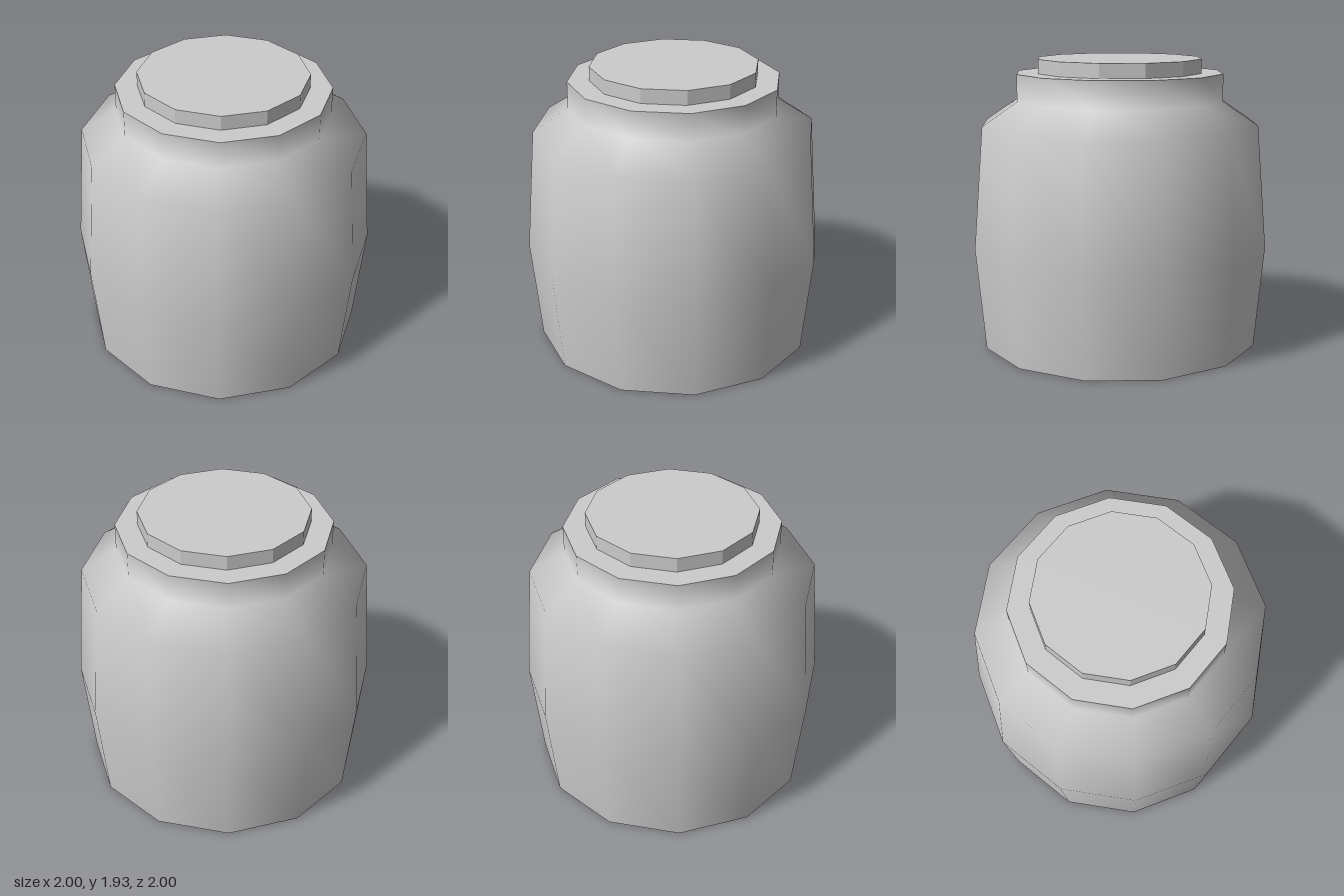
import * as THREE from 'three';

const SIDES = 12;

export function createModel() {
  const jar = new THREE.Group();
  jar.name = 'jar';
  const smooth = new THREE.MeshStandardMaterial({ color: 0xcccccc });
  const faceted = new THREE.MeshStandardMaterial({ color: 0xcccccc, flatShading: true });

  const add = (name, geometry, material, y = 0) => {
    const mesh = new THREE.Mesh(geometry, material);
    mesh.name = name;
    mesh.position.y = y;
    jar.add(mesh);
    return mesh;
  };

  // Bulging wall, sloping shoulder and upright neck in one smooth profile
  const profile = [[0.935, 0], [1, 0.69], [0.935, 1.505], [0.7, 1.66], [0.7, 1.84]]
    .map(([r, y]) => new THREE.Vector2(r, y));
  add('body', new THREE.LatheGeometry(profile, SIDES), smooth);

  // Flat discs closing the base and the neck
  add('base', new THREE.CircleGeometry(0.935, SIDES), faceted).rotation.x = Math.PI / 2;
  add('neckTop', new THREE.CircleGeometry(0.7, SIDES), faceted, 1.84).rotation.x = -Math.PI / 2;

  // Faceted lid standing on the neck
  add('lid', new THREE.CylinderGeometry(0.555, 0.555, 0.095, SIDES), faceted, 1.8875);

  return jar;
}
